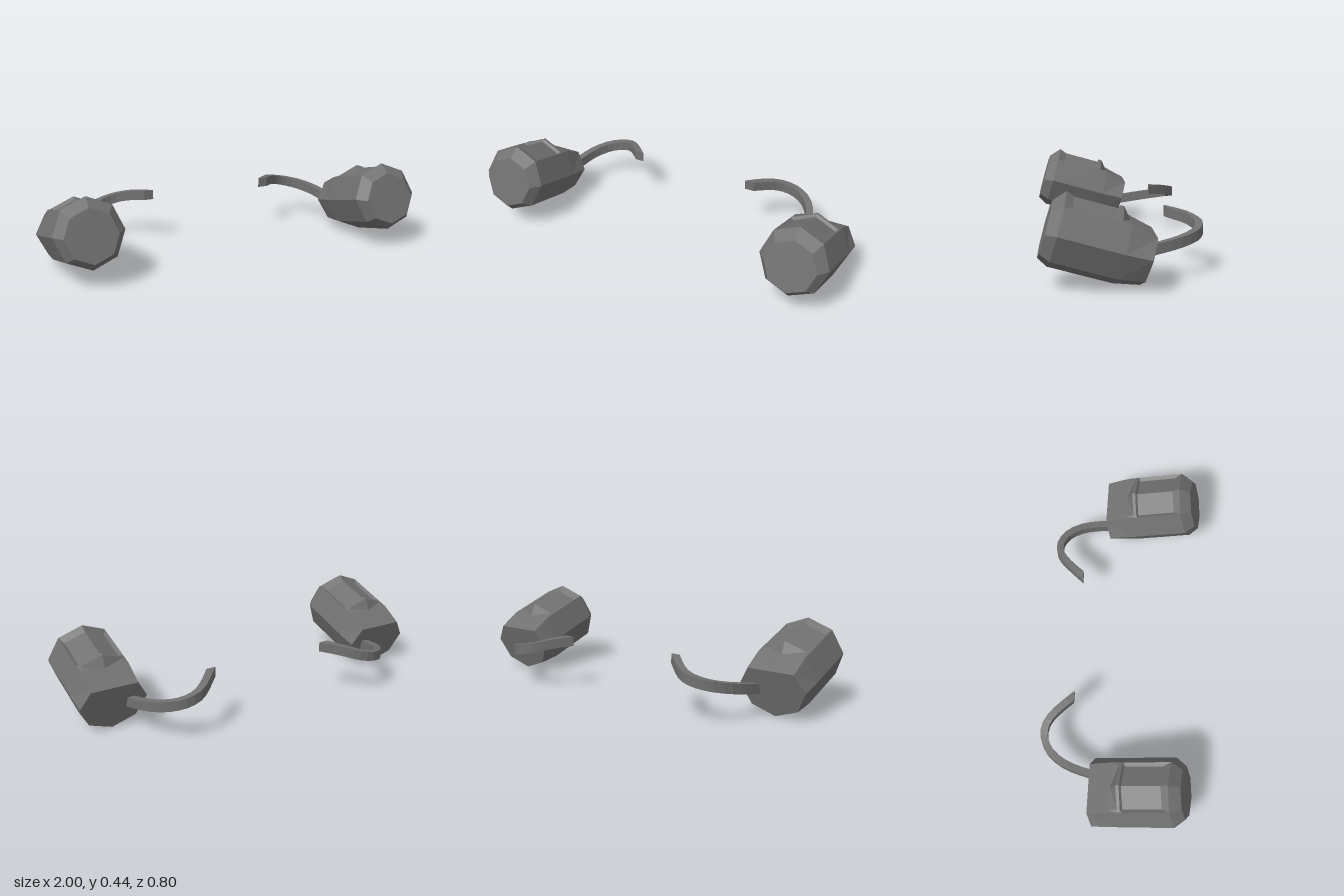
import * as THREE from 'three';

const grey = new THREE.MeshStandardMaterial({ color: 0x707070, flatShading: true });
grey.name = 'dark grey';

// Skin a list of closed rings of Vector3, with both ends capped.
function loft(rings, name) {
  const pos = [];
  const tri = (...pts) => pts.forEach((p) => pos.push(p.x, p.y, p.z));
  const n = rings[0].length;
  for (let k = 0; k < rings.length - 1; k++) {
    for (let i = 0; i < n; i++) {
      const j = (i + 1) % n;
      const a = rings[k][i], b = rings[k][j], c = rings[k + 1][j], d = rings[k + 1][i];
      if (i < n / 2) { tri(a, b, d); tri(b, c, d); }
      else { tri(a, b, c); tri(a, c, d); }
    }
  }
  const first = rings[0], last = rings[rings.length - 1];
  for (let i = 1; i < n - 1; i++) {
    tri(first[0], first[i + 1], first[i]);
    tri(last[0], last[i], last[i + 1]);
  }
  const geo = new THREE.BufferGeometry();
  geo.setAttribute('position', new THREE.Float32BufferAttribute(pos, 3));
  geo.computeVertexNormals();
  const mesh = new THREE.Mesh(geo, grey);
  mesh.name = name;
  return mesh;
}

// Half profile of the octagon: top, inner shoulder, shoulder, side, lower shoulder, bottom.
const octagon = (r, dv = 0) => [[0, r], [0.63 * r, 0.739 * r], [0.707 * r, 0.707 * r],
  [r, 0], [0.707 * r, -0.707 * r], [0, -r]].map(([x, v]) => [x, v + dv]);

function podSections() {
  const R = 0.179;
  const full = octagon(R);
  const withTop = (top, inner) => [top, inner, ...full.slice(2)];
  const recess = withTop([0, 0.163], [0.108, 0.117]);
  const flat = withTop([0, 0.1266], [0.113, 0.1266]);
  const back = [[0, 0.097], [0.11, 0.097], [0.125, 0.097], [0.178, 0.004], [0.125, -0.107], [0, -0.155]];
  // [distance along the pod axis, half profile]
  return [
    [0.361, octagon(0.136, -0.013)],
    [0.31, full],
    [0.27, recess],
    [0.0675, recess],
    [0.06, full],
    [0.043, full],
    [0, flat],
    [-0.125, back],
  ];
}

// Tilted octagonal pod with a shallow recess and a raised ridge on top.
function buildPod(cx) {
  const cos = 0.963, sin = 0.27;
  const rings = podSections().map(([s, half]) => {
    const mirrored = half.slice(1, -1).reverse().map(([x, v]) => [-x, v]);
    return [...half, ...mirrored].map(([x, v]) => new THREE.Vector3(
      cx + x, 0.185 + s * sin + v * cos, 0.014 + s * cos - v * sin));
  });
  return loft(rings, 'pod');
}

// Curved flat strap rising from the back of the pod and hooking inward.
function buildHook(side) {
  const path = new THREE.CatmullRomCurve3([
    [0.735, 0.135, -0.08], [0.715, 0.154, -0.18], [0.685, 0.172, -0.27], [0.63, 0.19, -0.345],
    [0.56, 0.207, -0.38], [0.49, 0.224, -0.373], [0.425, 0.243, -0.325], [0.345, 0.257, -0.237],
  ].map((p) => new THREE.Vector3(...p)));
  const steps = 14;
  const rings = [];
  for (let k = 0; k <= steps; k++) {
    const p = path.getPoint(k / steps), t = path.getTangent(k / steps);
    const out = new THREE.Vector3(-t.z, 0, t.x).normalize().multiplyScalar(0.019);
    if (k === steps) out.set(-0.026, 0, 0); // end cut square to the front
    const ring = [[-1, 1], [1, 1], [1, -1], [-1, -1]].map(([w, h]) => {
      const q = p.clone().addScaledVector(out, w);
      q.y += h * 0.026;
      q.x *= side;
      return q;
    });
    rings.push(side < 0 ? ring.reverse() : ring);
  }
  return loft(rings, 'hook');
}

export function createModel() {
  const model = new THREE.Group();
  model.name = 'podPair';
  for (const side of [1, -1]) {
    const unit = new THREE.Group();
    unit.name = side > 0 ? 'leftUnit' : 'rightUnit';
    unit.add(buildPod(0.82 * side), buildHook(side));
    model.add(unit);
  }
  return model;
}
